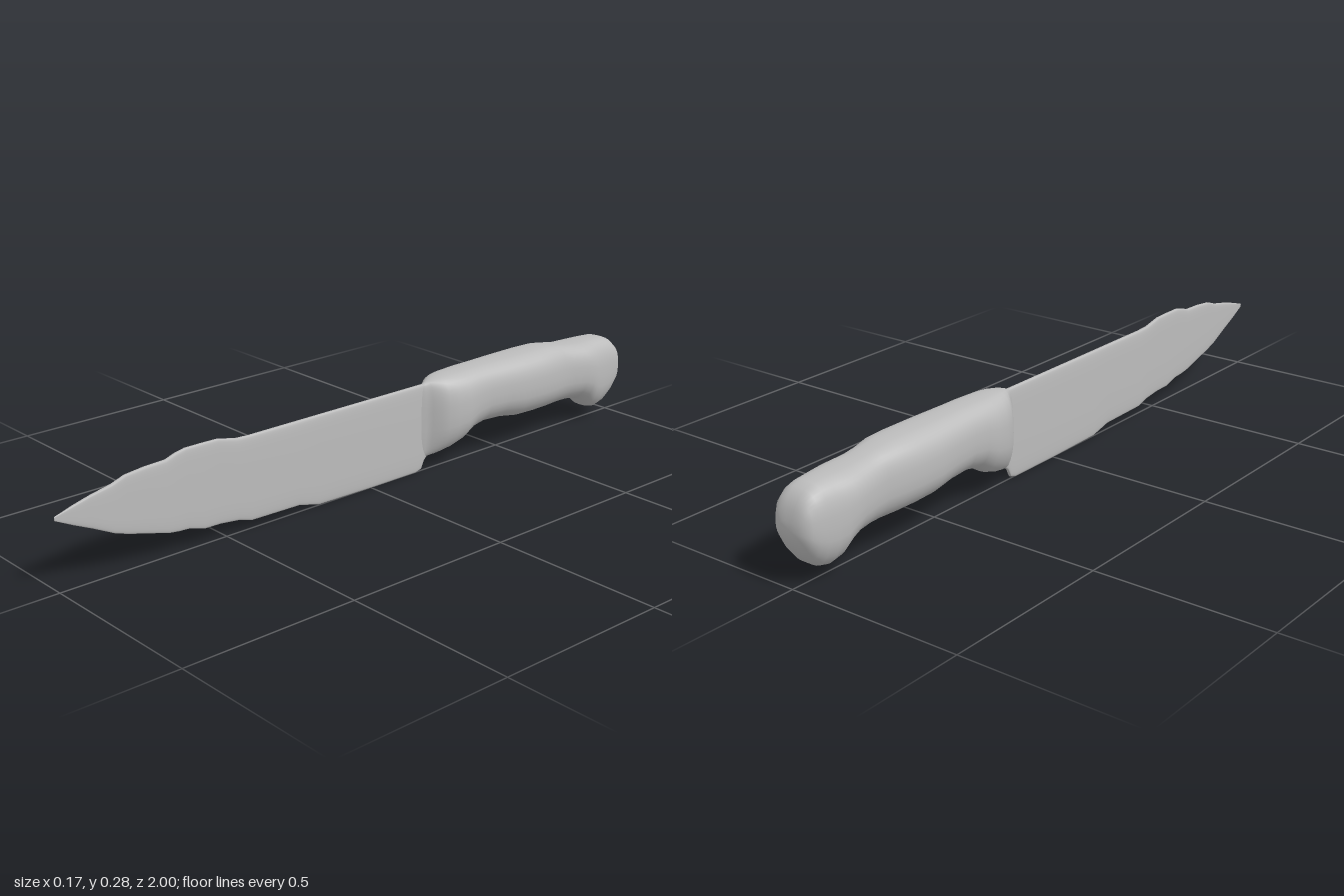
import * as THREE from 'three';

const grey = new THREE.MeshStandardMaterial({ color: 0xbcbcbc });
grey.name = 'plain grey';

// Lofts superellipse cross-sections [z, bottom, top, halfWidth], listed from +z to -z.
// power: squareness of the section; taper: narrowing of its lower half.
function loft(sections, power, taper, sides) {
  const positions = [];
  const indices = [];
  const bend = (v) => Math.sign(v) * Math.pow(Math.abs(v), 2 / power);
  for (const [z, bottom, top, width] of sections) {
    const middle = (top + bottom) / 2;
    const half = (top - bottom) / 2;
    for (let j = 0; j < sides; j++) {
      const a = (j / sides) * Math.PI * 2;
      const up = bend(Math.sin(a));
      const narrow = up < 0 ? 1 - taper * up * up : 1;
      positions.push(width * bend(Math.cos(a)) * narrow, middle + half * up, z);
    }
  }
  const last = sections.length - 1;
  for (let i = 0; i < last; i++) {
    for (let j = 0; j < sides; j++) {
      const k = (j + 1) % sides;
      const a = i * sides + j, b = i * sides + k;
      indices.push(a, a + sides, b, b, a + sides, b + sides);
    }
  }
  // End caps
  for (const [row, flip] of [[0, false], [last, true]]) {
    const [z, bottom, top] = sections[row];
    const centre = positions.length / 3;
    positions.push(0, (bottom + top) / 2, z);
    for (let j = 0; j < sides; j++) {
      const a = row * sides + j, b = row * sides + ((j + 1) % sides);
      if (flip) indices.push(centre, b, a);
      else indices.push(centre, a, b);
    }
  }
  const geometry = new THREE.BufferGeometry();
  geometry.setAttribute('position', new THREE.Float32BufferAttribute(positions, 3));
  geometry.setIndex(indices);
  geometry.computeVertexNormals();
  return geometry;
}

export function createModel() {
  const knife = new THREE.Group();
  knife.name = 'knife';

  // Thin blade with a wavy, stepped outline
  const blade = new THREE.Mesh(loft([
    [1.0, 0.19, 0.2, 0.002],
    [0.95, 0.165, 0.215, 0.005],
    [0.9, 0.142, 0.228, 0.006],
    [0.84, 0.112, 0.24, 0.007],
    [0.8, 0.098, 0.254, 0.007],
    [0.74, 0.082, 0.26, 0.008],
    [0.68, 0.065, 0.262, 0.008],
    [0.65, 0.061, 0.272, 0.008],
    [0.62, 0.059, 0.278, 0.008],
    [0.57, 0.045, 0.278, 0.008],
    [0.52, 0.044, 0.277, 0.008],
    [0.46, 0.037, 0.264, 0.009],
    [0.42, 0.025, 0.262, 0.009],
    [0.26, 0.022, 0.262, 0.009],
    [0.19, 0.005, 0.262, 0.009],
    [0, 0.002, 0.262, 0.009],
    [-0.17, 0.002, 0.262, 0.009],
    [-0.19, 0.008, 0.262, 0.009],
    [-0.2, 0.03, 0.262, 0.009],
    [-0.215, 0.045, 0.262, 0.009],
    [-0.26, 0.06, 0.255, 0.009],
  ], 5, 0.15, 32), grey);
  blade.name = 'blade';

  // Contoured grip: flared collar, finger hollow and hooked butt
  const handle = new THREE.Mesh(loft([
    [-0.18, 0.045, 0.258, 0.007],
    [-0.2, 0.042, 0.264, 0.015],
    [-0.213, 0.043, 0.269, 0.028],
    [-0.23, 0.046, 0.273, 0.047],
    [-0.25, 0.05, 0.276, 0.06],
    [-0.28, 0.056, 0.278, 0.07],
    [-0.32, 0.069, 0.278, 0.075],
    [-0.36, 0.095, 0.279, 0.074],
    [-0.41, 0.105, 0.279, 0.073],
    [-0.48, 0.102, 0.279, 0.078],
    [-0.55, 0.09, 0.279, 0.082],
    [-0.62, 0.088, 0.279, 0.083],
    [-0.68, 0.088, 0.278, 0.079],
    [-0.73, 0.088, 0.271, 0.068],
    [-0.77, 0.088, 0.264, 0.07],
    [-0.82, 0.084, 0.26, 0.078],
    [-0.85, 0.068, 0.259, 0.079],
    [-0.875, 0.043, 0.259, 0.076],
    [-0.905, 0.034, 0.258, 0.071],
    [-0.935, 0.041, 0.256, 0.068],
    [-0.96, 0.059, 0.248, 0.065],
    [-0.98, 0.085, 0.23, 0.06],
    [-0.993, 0.11, 0.205, 0.05],
    [-1.0, 0.135, 0.175, 0.03],
  ], 2.9, 0.25, 40), grey);
  handle.name = 'handle';

  knife.add(blade, handle);
  return knife;
}
